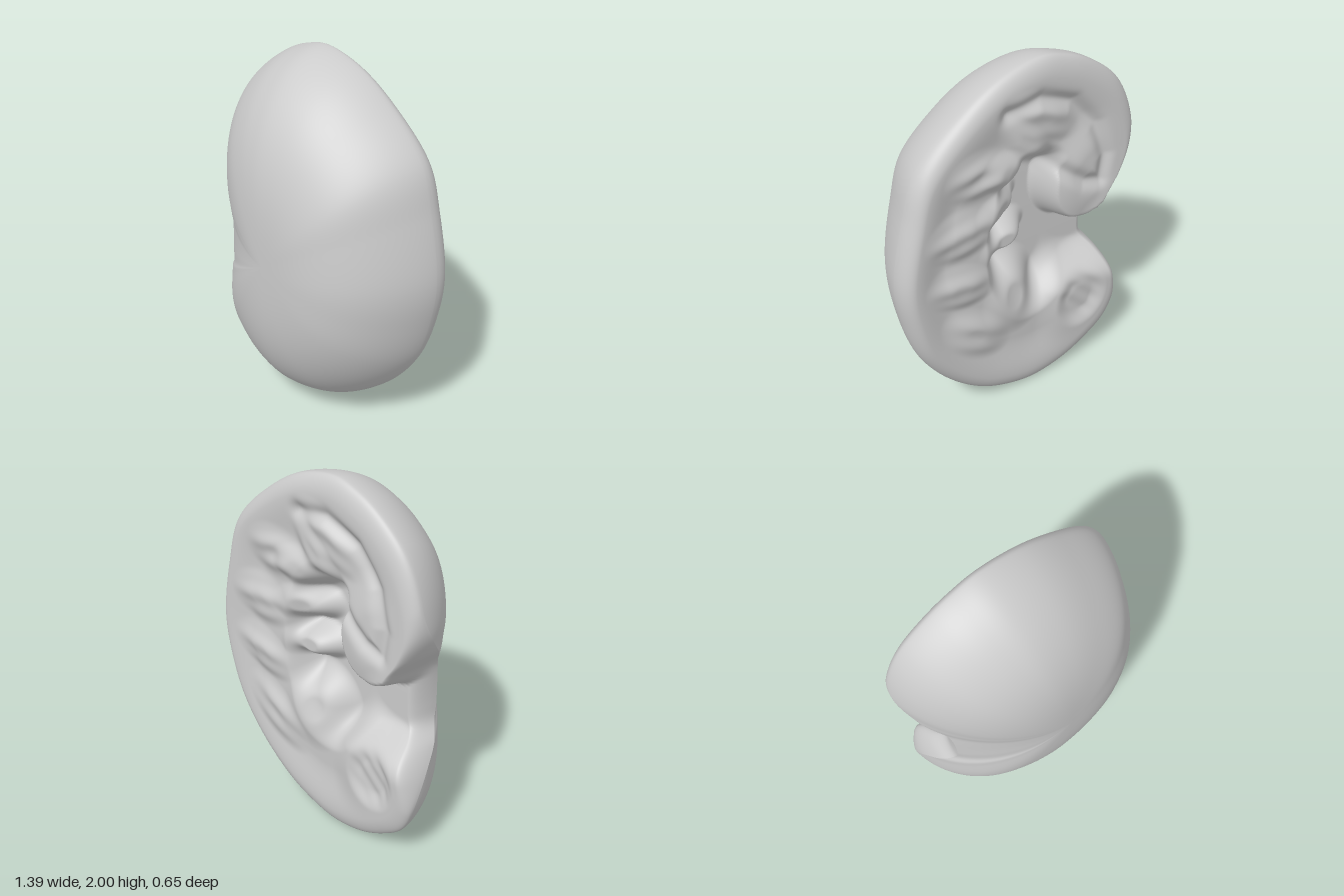
import * as THREE from 'three';

const CX = 0, CY = 1, COLS = 288, FRONT = 40, BACK = 120, RIM_Z = -0.22;
const { smoothstep, lerp, clamp } = THREE.MathUtils;

// Bean-shaped outline, clockwise from the top
const OUTLINE = [
  [-0.13, 2], [0.1, 1.95], [0.32, 1.82], [0.55, 1.6], [0.63, 1.35], [0.69, 1], [0.66, 0.75],
  [0.58, 0.5], [0.42, 0.27], [0.2, 0.09], [-0.02, 0.01], [-0.15, 0], [-0.33, 0.04],
  [-0.48, 0.12], [-0.6, 0.22], [-0.66, 0.36], [-0.66, 0.5], [-0.61, 0.65], [-0.55, 0.74],
  [-0.54, 0.84], [-0.55, 1.05], [-0.565, 1.11], [-0.65, 1.25], [-0.695, 1.4], [-0.66, 1.6],
  [-0.57, 1.77], [-0.4, 1.91], [-0.27, 1.97],
];

// Soft ellipse mask: 1 inside, 0 outside; soft is the width of the falloff
function blob(x, y, [cx, cy, rx, ry, rot = 0], soft) {
  const c = Math.cos(rot), s = Math.sin(rot), dx = x - cx, dy = y - cy;
  const d = Math.hypot((dx * c + dy * s) / rx, (dy * c - dx * s) / ry);
  return 1 - smoothstep(d, 1 - soft, 1 + soft * 0.3);
}

// Distance to a polyline
function lineDistance(x, y, pts) {
  let best = 9;
  for (let i = 0; i + 1 < pts.length; i++) {
    const [ax, ay] = pts[i], ux = pts[i + 1][0] - ax, uy = pts[i + 1][1] - ay;
    const k = clamp(((x - ax) * ux + (y - ay) * uy) / (ux * ux + uy * uy), 0, 1);
    best = Math.min(best, Math.hypot(x - ax - ux * k, y - ay - uy * k));
  }
  return best;
}

// Relief features: centre x, centre y, radius x, radius y, rotation
const UPPER_LIP = [-0.42, 1.29, 0.24, 0.32, 0.35];
const LOWER_LIP = [-0.45, 0.4, 0.29, 0.3];
const CALYCES = [
  [0.09, 1.47, 0.14, 0.1, 0.2], [0.1, 1.25, 0.15, 0.1, 0], [0.06, 1.03, 0.16, 0.1, -0.1],
  [-0.03, 1.59, 0.19, 0.08, 0.8], [0.02, 0.66, 0.18, 0.21, 0],
];
const PYRAMIDS = [
  [0.25, 1.5, 0.17, 0.13, 0.1], [0.36, 1.2, 0.18, 0.13, 0.15], [0.36, 0.89, 0.19, 0.12, 0.4],
  [0.27, 0.54, 0.23, 0.12, 0.75], [-0.12, 1.7, 0.22, 0.11, 0.6],
];
const GROOVE = [[0.08, 1.78], [-0.1, 1.8], [-0.3, 1.72], [-0.44, 1.55], [-0.5, 1.36],
  [-0.48, 1.22], [-0.38, 1.25], [-0.22, 1.37]];

// Plane of the cut
const cutPlane = (x, y) => -0.272 - 0.033 * (1 - (y - 1) ** 2) - 0.02 * x / 0.69;

// Central cavity, open towards the notch
function pelvis(x, y) {
  const main = blob(x, y, [-0.09, 1.02, 0.27, 0.5], 0.35);
  const channel = blob(x, y, [-0.48, 0.9, 0.5, 0.33], 0.6);
  const open = 1 - (1 - main) * (1 - channel);
  return open * (1 - blob(x, y, UPPER_LIP, 0.2)) * (1 - blob(x, y, LOWER_LIP, 0.6));
}

// Height of the carved back
function cutFace(x, y, t) {
  const hole = pelvis(x, y);
  const lips = Math.max(blob(x, y, UPPER_LIP, 0.6), blob(x, y, LOWER_LIP, 0.6));
  let z = cutPlane(x, y) + 0.2 * hole;
  z += 0.035 * (1 - smoothstep(t, 0.64, 0.9)) * (1 - hole) * (1 - lips);
  for (const c of CALYCES) z -= (0.03 + 0.1 * hole) * blob(x, y, c, 0.7);
  // Fanned ridges on every pyramid
  for (const p of PYRAMIDS) {
    const across = (y - p[1]) * Math.cos(p[4]) - (x - p[0]) * Math.sin(p[4]);
    z -= blob(x, y, p, 0.75) * (0.032 + 0.006 * Math.cos(across * 50 + x * 14));
  }
  z += 0.03 * Math.exp(-((lineDistance(x, y, GROOVE) / 0.04) ** 2));
  // Hollow with streaks in the lower lip
  z += blob(x, y, [-0.41, 0.46, 0.15, 0.17], 0.5) * (0.035 + 0.003 * Math.cos((x - y) * 55));
  return z;
}

// Domed front; s is 0 at the middle and 1 on the full, unnotched outline
function dome(s, { left, up }) {
  const z = RIM_Z + (0.325 - RIM_Z) * Math.max(0, 1 - s ** 3) ** (0.7 - 0.11 * up * up);
  return z - 0.4 * left ** 2 * s * s * (1 - s);
}

export function createModel() {
  const curve = new THREE.CatmullRomCurve3(
    OUTLINE.map(([x, y]) => new THREE.Vector3(x, y, 0)), true, 'centripetal');
  const rim = curve.getSpacedPoints(COLS).slice(0, COLS).map(({ x, y }) => {
    // The notch cuts into the dome, so its rim lies inside the full outline
    const inNotch = x < 0 && y > 0.36 && y < 1.4;
    const notch = inNotch ? Math.min(1, -x / lerp(0.66, 0.695, (y - 0.36) / 1.04)) : 1;
    const r = Math.hypot(x - CX, y - CY);
    return { x, y, notch, left: Math.max(0, CX - x) / r, up: (y - CY) / r };
  });
  // Average over neighbours so that the notch blends into the dome
  rim.forEach((p, j) => {
    p.reach = 0;
    for (let k = -6; k <= 6; k++) p.reach += rim[(j + k + COLS) % COLS].notch / 13;
  });

  // Rings run from the front pole over the rim to the back pole
  const rings = FRONT + BACK, positions = [], indices = [];
  for (let i = 0; i <= rings; i++) {
    const front = i <= FRONT;
    const t = front ? Math.sin((i / FRONT) * Math.PI / 2) : 1 - ((i - FRONT) / BACK) ** 1.4;
    for (const p of rim) {
      const x = CX + (p.x - CX) * t, y = CY + (p.y - CY) * t;
      let z;
      if (front) {
        z = dome(t * p.reach, p);
      } else {
        const k = clamp((t - 0.9) / 0.1, 0, 1);
        z = lerp(dome(p.reach, p), cutFace(x, y, t), Math.sqrt(1 - k * k));
      }
      positions.push(x, y, z);
    }
  }
  const id = (i, j) => i * COLS + (i === 0 || i === rings ? 0 : j % COLS);
  for (let i = 0; i < rings; i++) {
    for (let j = 0; j < COLS; j++) {
      const a = id(i, j), b = id(i + 1, j), c = id(i + 1, j + 1), d = id(i, j + 1);
      if (i < rings - 1) indices.push(a, c, b);
      if (i > 0) indices.push(a, d, c);
    }
  }
  const geometry = new THREE.BufferGeometry();
  geometry.setAttribute('position', new THREE.Float32BufferAttribute(positions, 3));
  geometry.setIndex(indices);
  geometry.computeVertexNormals();

  const body = new THREE.Mesh(geometry, new THREE.MeshStandardMaterial({ color: 0xcccccc }));
  body.name = 'kidneyHalf';
  const group = new THREE.Group();
  group.name = 'kidneySection';
  group.add(body);
  return group;
}
